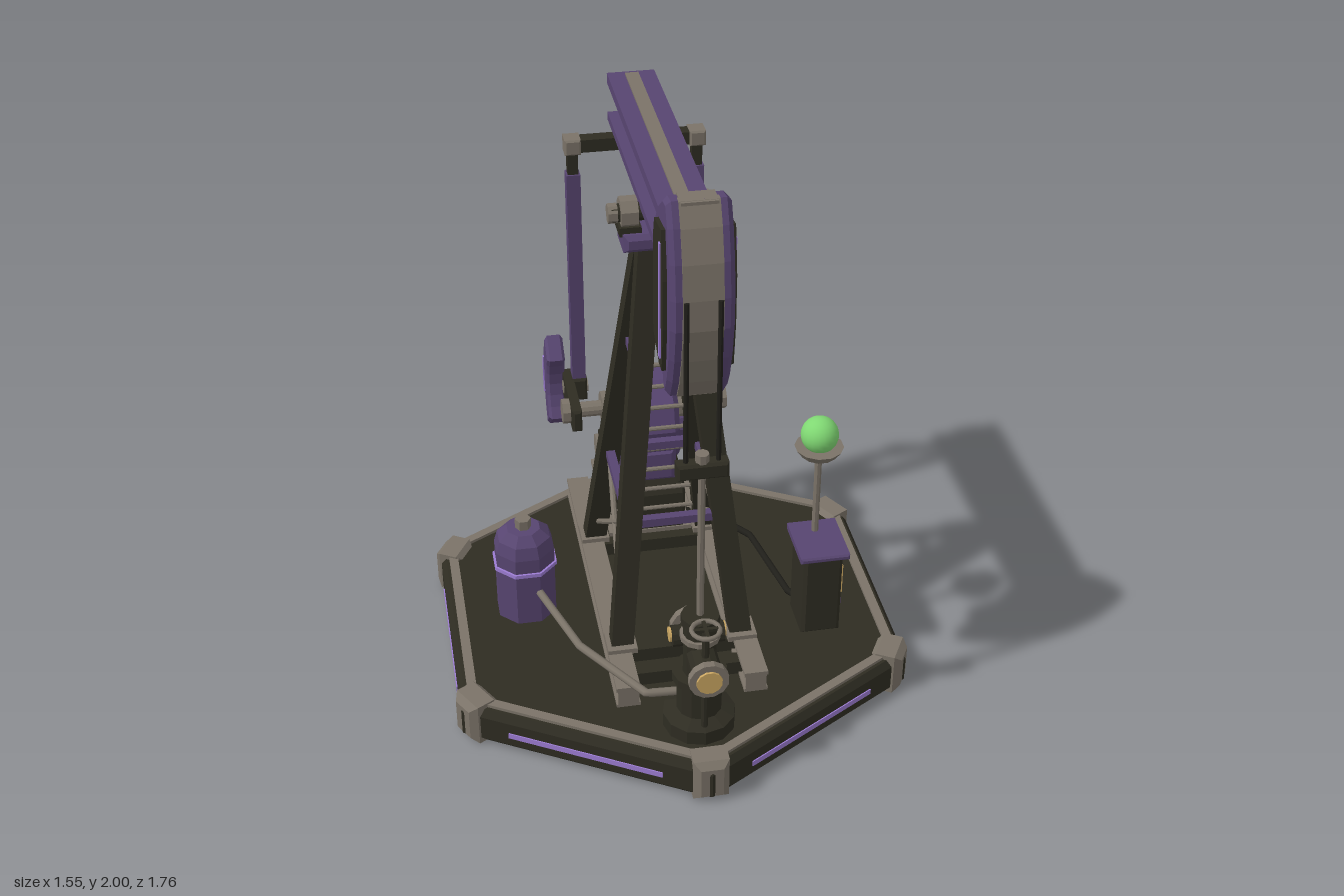
import * as THREE from 'three';

const mat = (name, color) => { const m = new THREE.MeshStandardMaterial({ color }); m.name = name; return m; };
const V = (x, y, z) => new THREE.Vector3(x, y, z);

export function createModel() {
  const root = new THREE.Group();
  const dark = mat('dark iron', 0x2e2c22), purple = mat('purple paint', 0x574570), taupe = mat('bare metal', 0x7b7368);
  const lilac = mat('lilac trim', 0x9c7cd2), tan = mat('amber', 0xcaa662), green = mat('green lamp', 0x80d873);
  const black = mat('black cable', 0x201f1a);

  const flat = (g) => { const f = g.index ? g.toNonIndexed() : g; f.computeVertexNormals(); return f; };
  const add = (name, geo, m, x = 0, y = 0, z = 0) => {
    const mesh = new THREE.Mesh(geo, m);
    mesh.name = name; mesh.position.set(x, y, z); root.add(mesh);
    return mesh;
  };
  const box = (name, m, w, h, d, x, y, z) => add(name, new THREE.BoxGeometry(w, h, d), m, x, y, z);
  // box with chamfered edges
  const chamfer = (w, h, d, b) => {
    const a = w / 2 - b, c = h / 2 - b;
    const s = new THREE.Shape([[-a, -c], [a, -c], [a, c], [-a, c]].map((p) => new THREE.Vector2(...p)));
    const g = new THREE.ExtrudeGeometry(s, { depth: d - 2 * b, bevelSize: b, bevelThickness: b, bevelSegments: 1 });
    return g.translate(0, 0, b - d / 2);
  };
  const cbox = (name, m, w, h, d, b, x, y, z) => add(name, chamfer(w, h, d, b), m, x, y, z);
  // cylinder along a chosen axis
  const cyl = (name, m, r, len, axis, x, y, z, sides = 12, rTop = r) => {
    const g = new THREE.CylinderGeometry(rTop, r, len, sides);
    g.rotateY(Math.PI / sides);
    if (axis === 'x') g.rotateZ(-Math.PI / 2);
    if (axis === 'z') g.rotateX(Math.PI / 2);
    return add(name, flat(g), m, x, y, z);
  };
  // side profile given as [z, y] points, extruded across x
  const profile = (name, m, pts, width, x = 0, bevel = 0) => {
    const g = new THREE.ExtrudeGeometry(new THREE.Shape(pts.map((p) => new THREE.Vector2(...p))), {
      depth: width - 2 * bevel, bevelEnabled: bevel > 0, bevelSize: bevel, bevelThickness: bevel, bevelOffset: -bevel, bevelSegments: 1,
    });
    g.translate(0, 0, bevel - width / 2).rotateY(-Math.PI / 2);
    return add(name, g, m, x);
  };
  // straight bar between two points
  const bar = (name, m, a, b, w, d = w, round = false) => {
    const dir = b.clone().sub(a), len = dir.length();
    const g = round ? flat(new THREE.CylinderGeometry(w / 2, w / 2, len, 8)) : new THREE.BoxGeometry(w, len, d);
    const mesh = add(name, g, m);
    mesh.position.copy(a).add(b).multiplyScalar(0.5);
    mesh.quaternion.setFromUnitVectors(V(0, 1, 0), dir.normalize());
    return mesh;
  };
  const lathe = (name, m, pts, sides, x, y, z, phi = 0) =>
    add(name, flat(new THREE.LatheGeometry(pts.map((p) => new THREE.Vector2(...p)), sides, phi)), m, x, y, z);
  const tube = (name, m, pts, r) => {
    const path = new THREE.CurvePath();
    for (let i = 1; i < pts.length; i++) path.add(new THREE.LineCurve3(pts[i - 1], pts[i]));
    return add(name, new THREE.TubeGeometry(path, 40, r, 8), m);
  };

  // Hexagonal base with rim bars, side stripes and corner caps
  lathe('base', dark, [[0, 0], [0.855, 0], [0.88, 0.025], [0.88, 0.115], [0.86, 0.14], [0, 0.14]], 6, 0, 0, 0);
  for (let i = 0; i < 6; i++) {
    const a = i * Math.PI / 3, e = a + Math.PI / 6;
    const put = (mesh, ang, r) => { mesh.position.x = Math.sin(ang) * r; mesh.position.z = Math.cos(ang) * r; mesh.rotation.y = ang; };
    put(box('baseRim', taupe, 0.8, 0.012, 0.032, 0, 0.145, 0), e, 0.718);
    put(box('baseStripe', lilac, 0.54, 0.02, 0.008, 0, 0.067, 0), e, 0.762);
    put(cbox('cornerCap', taupe, 0.118, 0.155, 0.11, 0.022, 0, 0.08, 0), a, 0.82);
  }

  // Skid
  for (const s of [-1, 1]) {
    box('skidWeb', dark, 0.045, 0.06, 1.18, s * 0.215, 0.175, -0.07);
    box('skidTopFlange', taupe, 0.08, 0.015, 1.21, s * 0.215, 0.212, -0.07);
    box('skidFoot', taupe, 0.08, 0.012, 1.21, s * 0.215, 0.146, -0.07);
    box('skidEnd', taupe, 0.07, 0.06, 0.01, s * 0.215, 0.176, 0.53);
  }
  for (const z of [-0.62, -0.3, 0.3, 0.42]) box('skidCrossbeam', dark, 0.4, 0.05, 0.05, 0, 0.17, z);

  // A-frame tower
  const legAt = (sx, sz, y) => {
    const t = (y - 0.21) / 1.38;
    return V(sx * (0.205 - 0.15 * t), y, sz * (0.312 - 0.285 * t));
  };
  for (const s of [-1, 1]) {
    for (const f of [-1, 1]) {
      bar('towerLeg', dark, legAt(s, f, 0.21), legAt(s, f, 1.6), 0.075, 0.062);
      box('legFoot', taupe, 0.1, 0.02, 0.1, s * 0.205, 0.225, f * 0.312);
      bar('crossBrace', taupe, legAt(s, f, 0.66), legAt(s, -f, 0.29), 0.02, 0.02, true);
    }
    bar('sideRail', purple, legAt(s, 1, 0.655), legAt(s, -1, 0.655), 0.03);
    bar('upperSideRail', purple, legAt(s, 1, 1.175), legAt(s, -1, 1.175), 0.03);
  }
  bar('frontRail', purple, legAt(-1, 1, 0.655), legAt(1, 1, 0.655), 0.03);
  bar('backRail', purple, legAt(-1, -1, 0.655), legAt(1, -1, 0.655), 0.03);
  for (let y = 0.33; y < 1.2; y += 0.1) bar('ladderRung', taupe, legAt(-1, -1, y), legAt(1, -1, y), 0.016, 0.016, true);

  // Saddle and pivot
  cbox('saddle', purple, 0.28, 0.06, 0.15, 0.015, 0, 1.61, 0);
  cyl('pivotShaft', dark, 0.03, 0.34, 'x', 0, 1.69, 0);
  for (const s of [-1, 1]) {
    cyl('pivotBearing', taupe, 0.052, 0.055, 'x', s * 0.115, 1.69, 0, 8);
    cyl('pivotCap', taupe, 0.032, 0.03, 'x', s * 0.165, 1.69, 0, 8);
    box('bearingFoot', dark, 0.07, 0.03, 0.1, s * 0.115, 1.645, 0);
  }

  // Walking beam
  const beamZ = -0.14, beamL = 1.0;
  box('beamTopFlange', purple, 0.16, 0.035, beamL, 0, 1.862, beamZ);
  box('beamBottomFlange', purple, 0.16, 0.028, beamL, 0, 1.725, beamZ);
  box('beamWeb', purple, 0.085, 0.12, beamL, 0, 1.79, beamZ);
  box('beamTopStrip', taupe, 0.045, 0.009, 0.95, 0, 1.882, beamZ);
  for (const s of [-1, 1]) box('beamStripe', lilac, 0.008, 0.022, 0.74, s * 0.044, 1.795, -0.14);

  // Horsehead
  const arc = [[0.55, 2.0], [0.585, 1.93], [0.615, 1.83], [0.63, 1.72], [0.63, 1.62], [0.61, 1.51], [0.58, 1.42], [0.54, 1.35]];
  profile('horsehead', purple, [...arc, [0.5, 1.37], [0.46, 1.47], [0.42, 1.59], [0.35, 1.72], [0.35, 1.85], [0.41, 1.93], [0.49, 1.99]], 0.19, 0, 0.015);
  const band = [...arc.map(([z, y]) => [z + 0.006, y]), ...arc.map(([z, y]) => [z - 0.02, y]).reverse()];
  profile('headFaceStrip', taupe, band, 0.12);
  box('headTipTop', taupe, 0.11, 0.01, 0.07, 0, 1.994, 0.53);
  box('headTipBottom', taupe, 0.11, 0.012, 0.045, 0, 1.354, 0.522);
  for (const s of [-1, 1]) {
    profile('headSidePanel', dark, [[0.545, 1.91], [0.435, 1.895], [0.415, 1.83], [0.415, 1.51], [0.51, 1.45], [0.555, 1.45], [0.575, 1.6], [0.575, 1.76]], 0.02, s * 0.098);
    box('headSideStripe', lilac, 0.006, 0.38, 0.015, s * 0.11, 1.675, 0.535);
    bar('bridleCable', black, V(s * 0.05, 1.72, 0.637), V(s * 0.05, 1.15, 0.637), 0.016, 0.016, true);
  }
  // Carrier bar and polished rod
  cbox('carrierBar', dark, 0.16, 0.055, 0.05, 0.008, 0, 1.145, 0.637);
  cyl('polishedRod', taupe, 0.012, 0.64, 'y', 0, 0.88, 0.637, 8);
  cyl('rodClamp', taupe, 0.022, 0.03, 'y', 0, 1.185, 0.637, 8);

  // Wellhead
  lathe('wellheadBase', dark, [[0, 0], [0.12, 0], [0.12, 0.05], [0.075, 0.07], [0.075, 0.19], [0.09, 0.19], [0.09, 0.22], [0.055, 0.22], [0.055, 0.41], [0, 0.41]], 12, 0, 0.14, 0.64);
  cyl('wellheadTopFlange', dark, 0.062, 0.03, 'y', 0, 0.57, 0.64);
  cyl('wellheadCollar', taupe, 0.066, 0.018, 'y', 0, 0.505, 0.64);
  cyl('wellheadValveBody', dark, 0.05, 0.27, 'z', 0, 0.44, 0.655);
  cyl('frontFlange', taupe, 0.065, 0.025, 'z', 0, 0.44, 0.785);
  cyl('rearFlange', taupe, 0.075, 0.025, 'z', 0, 0.44, 0.515);
  cyl('frontSight', tan, 0.042, 0.009, 'z', 0, 0.44, 0.801);
  cyl('sideValve', dark, 0.035, 0.17, 'x', 0, 0.475, 0.6);
  for (const s of [-1, 1]) cyl('sideSight', tan, 0.025, 0.009, 'x', s * 0.088, 0.475, 0.59);
  cyl('valveStem', dark, 0.012, 0.44, 'y', 0, 0.37, 0.73, 8);
  const wheel = add('handwheel', new THREE.TorusGeometry(0.045, 0.008, 6, 16), taupe, 0, 0.595, 0.73);
  wheel.rotation.x = Math.PI / 2;
  box('handwheelSpoke', dark, 0.09, 0.01, 0.012, 0, 0.595, 0.73);
  box('handwheelSpoke', dark, 0.012, 0.01, 0.09, 0, 0.595, 0.73);

  // Storage tank and flow pipe
  lathe('tank', purple, [[0, 0], [0.108, 0], [0.108, 0.27], [0.095, 0.315], [0.06, 0.345], [0, 0.345]], 8, -0.485, 0.14, -0.05, Math.PI / 8);
  lathe('tankBand', lilac, [[0.106, 0], [0.116, 0], [0.116, 0.014], [0.106, 0.014]], 8, -0.485, 0.342, -0.05, Math.PI / 8);
  cyl('tankCap', taupe, 0.028, 0.04, 'y', -0.485, 0.5, -0.05, 6);
  tube('flowPipe', taupe, [V(-0.46, 0.265, 0), V(-0.35, 0.265, 0.35), V(-0.17, 0.265, 0.62), V(0, 0.265, 0.63)], 0.014);

  // Control cabinet with beacon
  cbox('cabinet', dark, 0.135, 0.32, 0.18, 0.012, 0.5, 0.3, 0.19);
  cbox('cabinetRoof', purple, 0.17, 0.022, 0.22, 0.006, 0.5, 0.47, 0.19);
  box('cabinetScreen', tan, 0.009, 0.115, 0.13, 0.571, 0.345, 0.19);
  box('cabinetVent', purple, 0.008, 0.028, 0.125, 0.57, 0.25, 0.19);
  cyl('beaconMast', taupe, 0.012, 0.34, 'y', 0.5, 0.645, 0.14, 8);
  cyl('beaconTray', taupe, 0.062, 0.03, 'y', 0.5, 0.815, 0.14, 12, 0.083);
  add('beaconLamp', new THREE.SphereGeometry(0.064, 20, 14), green, 0.5, 0.876, 0.14);
  tube('powerCable', black, [V(0.47, 0.18, 0.14), V(0.43, 0.175, 0.08), V(0.37, 0.17, -0.27), V(0.28, 0.17, -0.39), V(0.12, 0.2, -0.45)], 0.012);

  // Drive housing and motor
  box('driveBedplate', taupe, 0.3, 0.016, 0.48, 0, 0.228, -0.525);
  profile('driveHousing', dark, [[-0.29, 0.235], [-0.29, 0.38], [-0.32, 0.435], [-0.62, 0.435], [-0.67, 0.3], [-0.76, 0.28], [-0.76, 0.235]], 0.26, 0, 0.01);
  for (const s of [-1, 1]) box('driveStripe', lilac, 0.008, 0.02, 0.26, s * 0.131, 0.365, -0.465);
  cyl('motor', dark, 0.062, 0.24, 'x', 0, 0.335, -0.71, 12);
  cyl('motorCap', taupe, 0.045, 0.02, 'x', -0.128, 0.335, -0.71, 12);
  cbox('motorTerminalBox', tan, 0.05, 0.03, 0.06, 0.004, -0.02, 0.4, -0.71);

  // Gearbox
  cbox('gearboxFoot', purple, 0.2, 0.14, 0.3, 0.02, 0, 0.5, -0.45);
  const gearPts = Array.from({ length: 10 }, (_, i) => [-0.415 + 0.162 * Math.cos(i * Math.PI / 5), 0.672 + 0.162 * Math.sin(i * Math.PI / 5)]);
  profile('gearbox', purple, gearPts, 0.21, 0, 0.02);

  // Belt guard between motor and gearbox
  const guardA = [-0.59, 0.515], guardB = [-0.71, 0.33];
  const ang = Math.atan2(guardB[1] - guardA[1], guardB[0] - guardA[0]);
  const cap = (c, r, start) => Array.from({ length: 7 }, (_, i) => [c[0] + r * Math.cos(start + i * Math.PI / 6), c[1] + r * Math.sin(start + i * Math.PI / 6)]);
  profile('beltGuard', purple, [...cap(guardB, 0.068, ang - Math.PI / 2), ...cap(guardA, 0.09, ang + Math.PI / 2)], 0.04, 0.155, 0.008);
  cyl('beltGuardHub', taupe, 0.03, 0.02, 'x', 0.18, 0.33, -0.71, 8);
  cyl('inputShaft', taupe, 0.02, 0.16, 'x', 0.08, 0.515, -0.59, 8);

  // Cranks, counterweights and pitman arms
  const hub = [-0.415, 0.7];
  const sector = (r0, r1, a0, a1, n = 6) => {
    const ring = (r) => Array.from({ length: n + 1 }, (_, i) => {
      const a = a0 + (a1 - a0) * i / n;
      return [hub[0] - r * Math.cos(a), hub[1] + r * Math.sin(a)];
    });
    return [...ring(r1), ...ring(r0).reverse()];
  };
  cyl('crankShaft', taupe, 0.028, 0.58, 'x', 0, hub[1], hub[0]);
  for (const s of [-1, 1]) {
    cyl('crankHub', taupe, 0.045, 0.04, 'x', s * 0.275, hub[1], hub[0], 8);
    cyl('shaftBearing', taupe, 0.06, 0.05, 'x', s * 0.13, hub[1], hub[0], 8);
    cbox('crankArm', dark, 0.035, 0.085, 0.3, 0.008, s * 0.25, hub[1], -0.485);
    profile('counterweight', purple, sector(0.19, 0.29, -0.72, 0.68), 0.065, s * 0.292, 0.01);
    profile('counterweightTrim', lilac, sector(0.268, 0.277, -0.28, 0.28), 0.008, s * 0.325);
    cyl('crankPin', taupe, 0.025, 0.09, 'x', s * 0.225, hub[1], -0.575, 8);
    cbox('pitmanLowerJoint', dark, 0.055, 0.09, 0.07, 0.008, s * 0.213, hub[1], -0.575);
    box('pitmanArm', purple, 0.048, 0.83, 0.05, s * 0.213, 1.14, -0.575);
    box('pitmanUpperJoint', dark, 0.036, 0.1, 0.036, s * 0.213, 1.59, -0.575);
    cbox('equalizerEnd', taupe, 0.055, 0.055, 0.07, 0.006, s * 0.213, 1.66, -0.575);
  }
  box('equalizerBar', dark, 0.46, 0.045, 0.05, 0, 1.66, -0.575);
  box('equalizerHanger', dark, 0.1, 0.05, 0.08, 0, 1.695, -0.575);
  return root;
}
